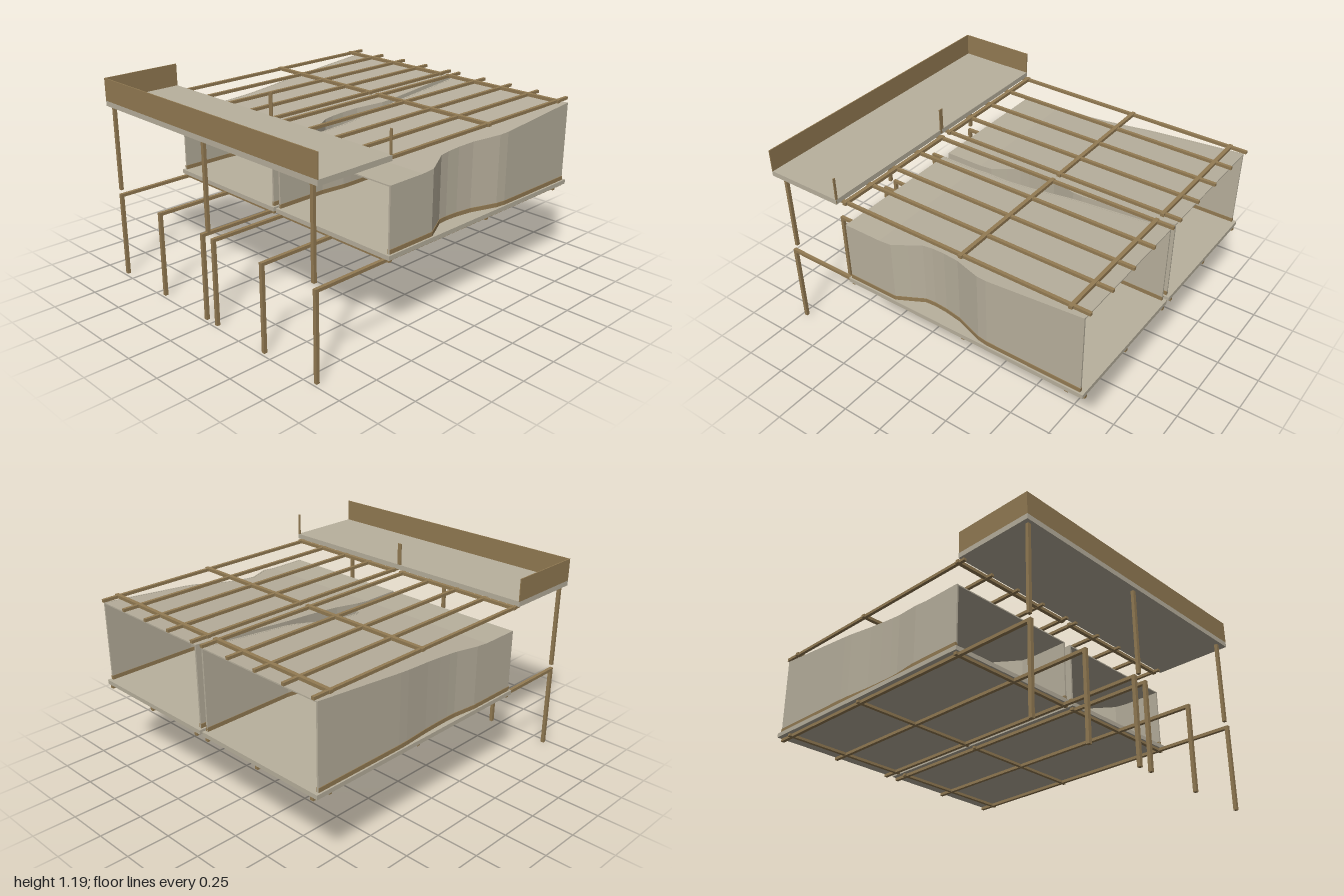
import * as THREE from 'three';

const cladding = new THREE.MeshStandardMaterial({ color: 0xb8b09d, side: THREE.DoubleSide });
cladding.name = 'beige cladding';
const timber = new THREE.MeshStandardMaterial({ color: 0x937b53 });
timber.name = 'brown timber';

// Box given by its minimum and maximum along each axis
function slab(parent, name, material, [x0, x1], [y0, y1], [z0, z1]) {
  const mesh = new THREE.Mesh(new THREE.BoxGeometry(x1 - x0, y1 - y0, z1 - z0), material);
  mesh.position.set((x0 + x1) / 2, (y0 + y1) / 2, (z0 + z1) / 2);
  mesh.name = name;
  parent.add(mesh);
}

const around = (c, width = 0.02) => [c - width / 2, c + width / 2];

// Flat-shaded solid through four-cornered sections ordered along +x
function loft(parent, name, material, sections) {
  const pos = [];
  const quad = (a, b, c, d) => pos.push(...a, ...b, ...c, ...a, ...c, ...d);
  for (let i = 0; i + 1 < sections.length; i++) {
    const a = sections[i], b = sections[i + 1];
    for (let k = 0; k < 4; k++) {
      const n = (k + 1) % 4;
      quad(a[k], a[n], b[n], b[k]);
    }
  }
  const first = sections[0], last = sections[sections.length - 1];
  quad(first[3], first[2], first[1], first[0]);
  quad(...last);
  const geometry = new THREE.BufferGeometry();
  geometry.setAttribute('position', new THREE.Float32BufferAttribute(pos, 3));
  geometry.computeVertexNormals();
  const mesh = new THREE.Mesh(geometry, material);
  mesh.name = name;
  parent.add(mesh);
}

const section = (x, y0, y1, z0, z1) => [[x, y0, z1], [x, y0, z0], [x, y1, z0], [x, y1, z1]];

// Plan of the side walls: x and share of the inward bulge
const plan = [[-0.505, 0], [-0.27, 0], [-0.19, 0], [-0.11, 0.5], [-0.04, 0.95], [0.02, 1], [0.1, 0.94],
  [0.2, 0.75], [0.29, 0.38], [0.36, 0.1], [0.42, 0], [0.98, 0]];
const roofY = x => 0.893 + 0.112 * Math.max(0, (x + 0.27) / 1.25);
const frontZ = s => 0.842 - 0.083 * s;
const rearZ = s => 0.015 + 0.018 * s;

const crossX = [-0.5, 0.265, 0.9];

function buildModule() {
  const unit = new THREE.Group();
  slab(unit, 'floor', cladding, [-0.52, 1], [0.505, 0.53], [0.003, 0.854]);

  // Curved side walls, skirtings and the sloping roof between them
  const t = 0.01;
  const wall = (name, z0, z1) => loft(unit, name, cladding,
    plan.map(([x, s]) => section(x, 0.53, roofY(x), z0(s), z1(s))));
  wall('frontWall', s => frontZ(s) - t, frontZ);
  wall('rearWall', rearZ, s => rearZ(s) + t);
  const skirting = (name, z0, z1) => loft(unit, name, timber,
    plan.map(([x, s]) => section(x, 0.532, 0.556, z0(s), z1(s))));
  skirting('frontSkirting', s => frontZ(s) - t - 0.003, s => frontZ(s) + 0.004);
  skirting('rearSkirting', s => rearZ(s) - 0.004, s => rearZ(s) + t + 0.003);
  loft(unit, 'roof', cladding,
    plan.map(([x, s]) => section(x, roofY(x) - 0.008, roofY(x) - 0.001, rearZ(s) + t, frontZ(s) - t)));

  // Floor beams reaching out to the legs
  for (const z of [0.04, 0.43, 0.82]) {
    slab(unit, 'floorBeam', timber, [-0.985, 1], [0.487, 0.505], around(z));
    slab(unit, 'leg', timber, around(-0.975), [0, 0.505], around(z));
  }
  for (const x of crossX)
    slab(unit, 'floorCrossBeam', timber, around(x), [0.488, 0.504], [0.015, 0.845]);

  // Open lattice above the roof
  for (let i = 0; i < 5; i++)
    slab(unit, 'pergolaJoist', timber, [-0.55, 1], [1.016, 1.033], around(0.025 + i * 0.198, 0.018));
  for (const x of crossX)
    slab(unit, 'pergolaCrossBeam', timber, around(x - 0.003, 0.022), [1.017, 1.035], [0.01, 0.837]);
  return unit;
}

export function createModel() {
  const model = new THREE.Group();
  model.name = 'stiltPavilion';

  // Two identical rooms side by side
  [0, -0.872].forEach((z, i) => {
    const unit = buildModule();
    unit.name = i ? 'rearRoom' : 'frontRoom';
    unit.position.z = z;
    model.add(unit);
  });

  // Raised canopy with a parapet on two sides and short end posts
  const canopy = new THREE.Group();
  canopy.name = 'canopy';
  slab(canopy, 'canopyDeck', cladding, [-1, -0.525], [1.03, 1.06], [-0.87, 0.868]);
  slab(canopy, 'longParapet', timber, [-1, -0.994], [1.06, 1.19], [-0.87, 0.868]);
  slab(canopy, 'endParapet', timber, [-0.994, -0.525], [1.06, 1.19], [-0.87, -0.864]);
  for (const z of [0.861, -0.006])
    slab(canopy, 'parapetPost', timber, [-0.531, -0.525], [1.035, 1.19], around(z, z > 0.1 ? 0.014 : 0.026));
  for (const z of [-0.835, -0.006, 0.805])
    slab(canopy, 'canopyPost', timber, around(-0.972, 0.018), [0.53, 1.03], around(z));
  model.add(canopy);
  return model;
}
